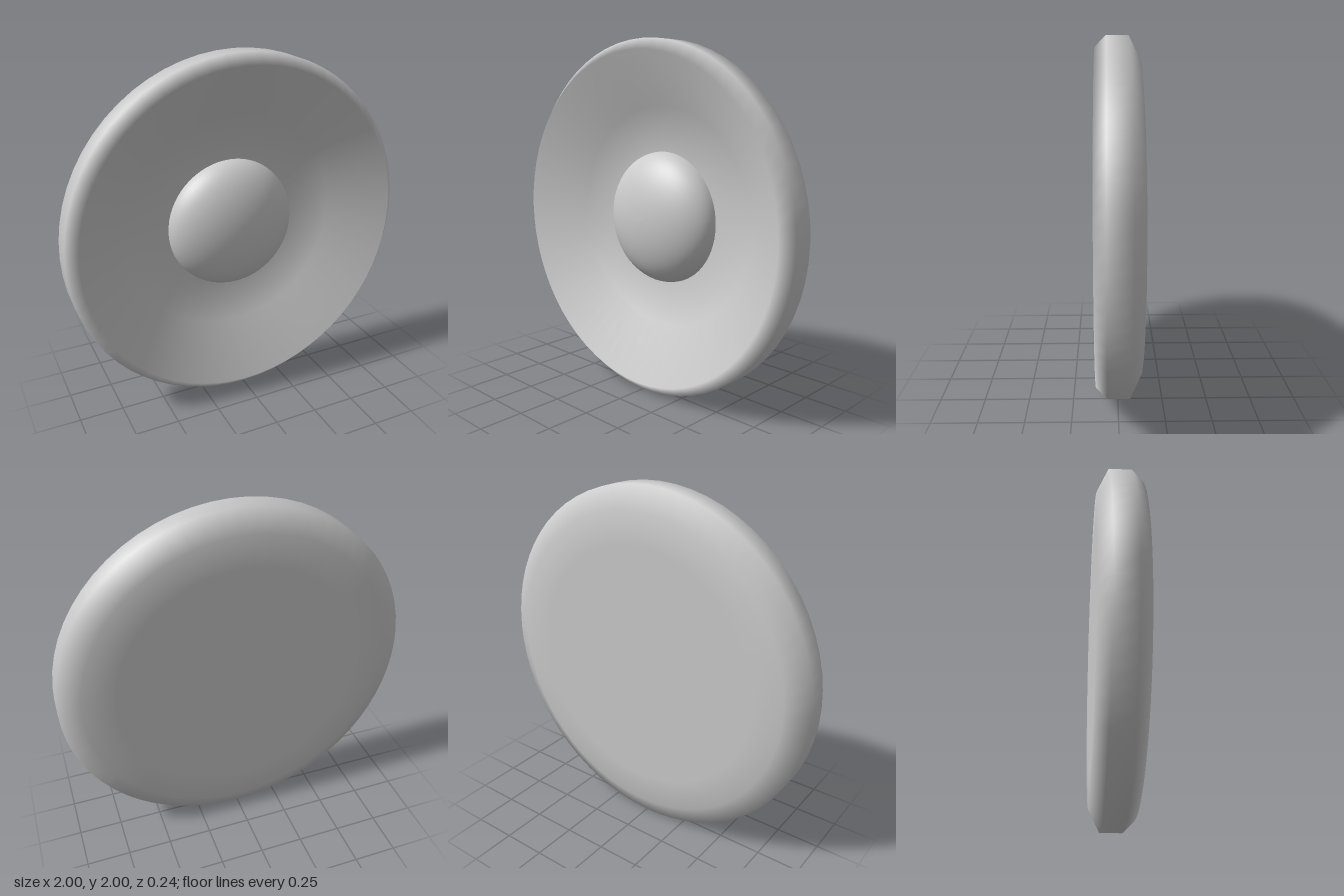
import * as THREE from 'three';

const SEGMENTS = 64;

// Spin a (radius, depth) profile around the z axis
function spin(name, profile, material) {
  const points = profile.map(([r, z]) => new THREE.Vector2(r, z));
  const geometry = new THREE.LatheGeometry(points, SEGMENTS);
  geometry.rotateX(Math.PI / 2);
  const mesh = new THREE.Mesh(geometry, material);
  mesh.name = name;
  mesh.position.y = 1;
  return mesh;
}

export function createModel() {
  const group = new THREE.Group();
  group.name = 'speakerDisc';
  const material = new THREE.MeshStandardMaterial({ color: 0xcccccc });

  // Flat back, bevelled rim and a steep bowl that levels out near the cap
  group.add(spin('discAndBowl', [
    [0, -0.12], [0.7, -0.12], [0.88, -0.12], [1, -0.06], [1, 0.06],
    [0.94, 0.12], [0.64, -0.085], [0.38, -0.118],
  ], material));

  // Domed cap in the middle of the bowl
  const dome = [];
  const steps = 14;
  for (let i = 0; i <= steps; i++) {
    const a = (i / steps) * Math.PI / 2;
    dome.push([i === steps ? 0 : 0.38 * Math.cos(a), -0.118 + 0.2 * Math.sin(a)]);
  }
  group.add(spin('domeCap', dome, material));

  return group;
}
